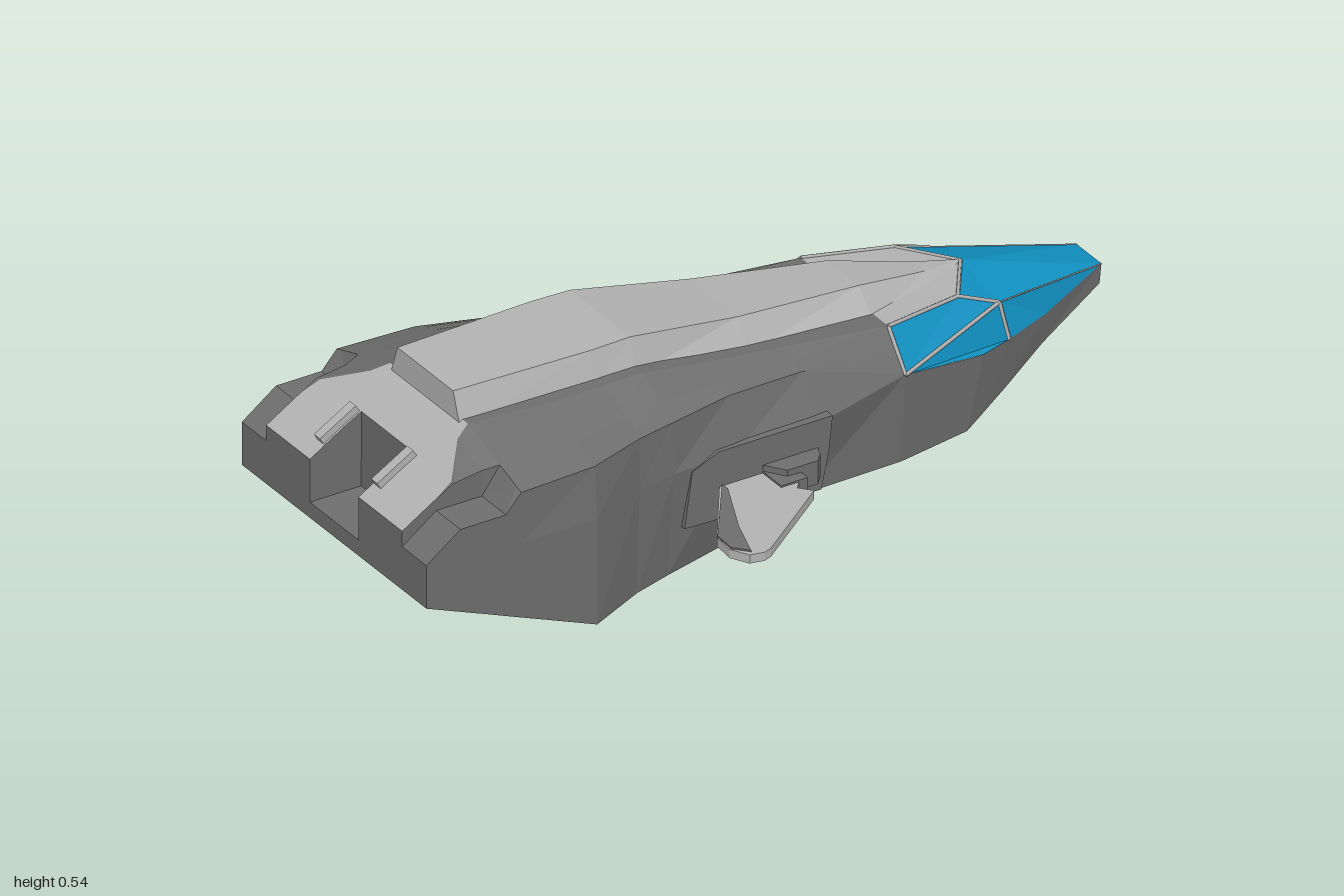
import * as THREE from 'three';

const material = (name, color, side = THREE.FrontSide) => {
  const m = new THREE.MeshStandardMaterial({ color, side });
  m.name = name;
  return m;
};

// Flat-shaded surface from polygons on the +z half, mirrored to -z
function mirroredSurface(polygons) {
  const pos = [];
  for (const p of polygons) {
    for (let i = 1; i < p.length - 1; i++) {
      const [a, b, c] = [p[0], p[i], p[i + 1]];
      pos.push(...a, ...b, ...c);
      for (const [x, y, z] of [a, c, b]) pos.push(x, y, -z);
    }
  }
  const g = new THREE.BufferGeometry();
  g.setAttribute('position', new THREE.Float32BufferAttribute(pos, 3));
  g.computeVertexNormals();
  return g;
}

// Quads between neighbouring half sections; pick(i, j) chooses the list
function loft(rows, pick) {
  for (let i = 0; i < rows.length - 1; i++) {
    const a = rows[i], b = rows[i + 1];
    for (let j = 0; j < Math.min(a.length, b.length) - 1; j++) {
      pick(i, j).push([a[j], b[j], b[j + 1], a[j + 1]]);
    }
  }
}

// End cap made of vertical strips down to the section's bottom line
function cap(row, facesForward) {
  const yb = row[0][1], out = [];
  for (let j = 0; j < row.length - 1; j++) {
    const [x, y0, z0] = row[j], [, y1, z1] = row[j + 1];
    const q = [[x, yb, z0], [x, y0, z0], [x, y1, z1], [x, yb, z1]];
    out.push(facesForward ? q.reverse() : q);
  }
  return out;
}

const outline = (pts) => new THREE.Shape(pts.map(([x, y]) => new THREE.Vector2(x, y)));

export function createModel() {
  const model = new THREE.Group();
  model.name = 'shuttle';
  const dark = material('hull grey', 0x6e6e6e);
  const light = material('light grey', 0xb2b2b2, THREE.DoubleSide);
  const blue = material('window blue', 0x1090c0);
  const add = (name, geometry, mat, parent = model) => {
    const m = new THREE.Mesh(geometry, mat);
    m.name = name;
    parent.add(m);
    return m;
  };

  // Tail sections: x, bottom y, notch floor y, notch top y, ramp edge z, ramp y, recess floor y
  const tail = [
    [-1, 0.18, 0.29, 0.33, 0.28, 0.33, 0.22],
    [-0.91, 0.144, 0.355, 0.385, 0.28, 0.385, 0.22],
    [-0.865, 0.126, 0.355, 0.41, 0.27, 0.41, 0.22],
    [-0.864, 0.126, 0.355, 0.41, 0.27, 0.41, 0.41],
    [-0.79, 0.096, 0.355, 0.42, 0.18, 0.453, 0.453],
  ].map(([x, yb, yn, yt, zr, yr, yf]) => [
    [x, yb, 0], [x, yb, 0.38], [x, 0.27, 0.38], [x, yn, 0.38], [x, yn, 0.28],
    [x, yt, 0.28], [x, yr, zr], [x, yr, 0.1], [x, yf, 0.1], [x, yf, 0],
  ]);

  // Main sections: x, bottom y z, side y z, shoulder y z, roof edge y z
  const body = [
    [-0.75, 0.08, 0.38, 0.27, 0.38, 0.4, 0.38, 0.47, 0.16],
    [-0.55, 0, 0.38, 0.27, 0.38, 0.4, 0.37, 0.47, 0.18],
    [-0.4, 0, 0.31, 0.27, 0.32, 0.4, 0.32, 0.47, 0.18],
    [-0.3, 0, 0.28, 0.27, 0.305, 0.4, 0.3, 0.47, 0.18],
    [-0.13, 0, 0.235, 0.27, 0.295, 0.4, 0.265, 0.443, 0.175],
    [0.08, 0.07, 0.24, 0.27, 0.292, 0.385, 0.24, 0.415, 0.17],
    [0.345, 0.07, 0.235, 0.298, 0.25, 0.302, 0.249, 0.39, 0.18],
  ].map(([x, yb, zb, ym, zm, ys, zs, yu, zu]) => {
    const mix = (t) => [x, ys + (yu - ys) * t, zs + (zu - zs) * t];
    return [
      [x, yb, 0], [x, yb, zb], [x, ym, zm], [x, ys, zs], mix(0.1),
      mix(0.4), mix(1), [x, yu, 0.1], [x, yu, 0.1], [x, yu, 0],
    ];
  });

  // Canopy corner points, shared with the nose sections
  const A = body.at(-1)[2], B = body.at(-1)[6], B0 = body.at(-1)[9];
  const C = [0.56, 0.376, 0.13], D = [0.66, 0.337, 0.145], F = [0.65, 0.377, 0];
  const G = [0.58, 0.256, 0.205], I = [0.67, 0.25, 0.17], H = [0.8, 0.25, 0.118];
  const E = [0.99, 0.287, 0.05], E0 = [0.99, 0.287, 0];
  const nose = [
    body.at(-1).slice(0, 3),
    [[0.54, 0.07, 0], [0.54, 0.07, 0.2], [0.54, 0.262, 0.212]],
    [[0.58, 0.086, 0], [0.58, 0.086, 0.187], G],
    [[0.67, 0.12, 0], [0.67, 0.12, 0.155], I],
    [[0.8, 0.17, 0], [0.8, 0.17, 0.105], H],
    [[0.985, 0.238, 0], [0.985, 0.238, 0.05], E],
  ];

  // Hull with light boarding ramp at the tail
  const hull = [], ramp = [];
  const rows = [...tail, ...body];
  loft(rows, (i, j) => (i < 5 && (j === 6 || (i > 2 && j > 6)) ? ramp : hull));
  loft(nose, () => hull);
  hull.push(...cap(tail[0], false));
  hull.push([[0.985, 0.238, 0], [0.985, 0.238, 0.05], E, E0].reverse());
  add('hull', mirroredSurface(hull), dark);
  add('tailRamp', mirroredSurface(ramp), light);

  // Small fittings beside the tail recess
  for (const s of [-1, 1]) {
    const rail = add('rampRail', new THREE.BoxGeometry(0.11, 0.03, 0.025), light);
    rail.position.set(-0.915, 0.385, s * 0.118);
    rail.rotation.z = 0.53;
  }

  // Canopy glass, roof and window frames
  add('windows', mirroredSurface([
    [A, D, C, B], [A, G, I, D], [D, I, H, E], [F, C, D, E, E0],
  ]), blue);
  add('canopyRoof', mirroredSurface([[B0, B, C, F]]), light);
  const up = new THREE.Vector3(0, 1, 0);
  for (const s of [-1, 1]) {
    for (const [p, q] of [[A, D], [D, C], [D, I], [D, E], [C, F], [B, C], [A, B]]) {
      const a = new THREE.Vector3(p[0], p[1], p[2] * s);
      const d = new THREE.Vector3(q[0], q[1], q[2] * s).sub(a);
      const r = q === E ? 0.002 : 0.005;
      const bar = add('windowFrame', new THREE.CylinderGeometry(r, r, d.length(), 5), light);
      bar.position.copy(a).addScaledVector(d, 0.5);
      bar.quaternion.setFromUnitVectors(up, d.normalize());
    }
  }

  // Raised spine: x, base y z, top y z
  const spine = [
    [-0.76, 0.45, 0.145, 0.535, 0.115],
    [-0.4, 0.45, 0.152, 0.535, 0.128],
    [-0.3, 0.45, 0.152, 0.535, 0.124],
    [0, 0.41, 0.147, 0.482, 0.1],
    [0.34, 0.38, 0.128, 0.44, 0.066],
    [0.54, 0.372, 0.06, 0.395, 0.025],
    [0.65, 0.37, 0.008, 0.379, 0.001],
  ].map(([x, y0, z0, y1, z1]) => [[x, y0, 0], [x, y0, z0], [x, y1, z1], [x, y1, 0]]);
  const spineFaces = cap(spine[0], false);
  loft(spine, () => spineFaces);
  add('spine', mirroredSurface(spineFaces), light);

  // Side pods, hinges and fins
  const podShape = outline([[-0.27, 0.12], [0.09, 0.11], [0.11, 0.2], [0.12, 0.29], [-0.18, 0.29], [-0.25, 0.26]]);
  const hingeShape = outline([[-0.08, 0.28], [0.09, 0.28], [0.07, 0.33], [0.05, 0.352], [-0.03, 0.352]]);
  const finShape = outline([
    [-0.17, 0.29], [0, 0.29], [-0.01, 0.37], [-0.035, 0.4], [-0.01, 0.43],
    [-0.23, 0.595], [-0.25, 0.602], [-0.285, 0.595], [-0.31, 0.55], [-0.305, 0.49],
  ]);
  const finEdge = outline([[-0.17, 0.3], [-0.17, 0.325], [-0.24, 0.48], [-0.275, 0.585], [-0.306, 0.55], [-0.303, 0.49]]);
  const slab = (shape, y, thickness) => new THREE.ExtrudeGeometry(shape, { depth: thickness, bevelEnabled: false })
    .rotateX(Math.PI / 2).translate(0, y + thickness, 0);
  for (const s of [-1, 1]) {
    const side = new THREE.Group();
    side.name = s > 0 ? 'frontFinAssembly' : 'backFinAssembly';
    model.add(side);
    add('pod', new THREE.ExtrudeGeometry(podShape, { depth: 0.1, bevelEnabled: false }).translate(0, 0, 0.203), dark, side);
    add('hinge', slab(hingeShape, 0.16, 0.06), dark, side);
    add('hingeArm', new THREE.BoxGeometry(0.07, 0.035, 0.09).translate(-0.03, 0.187, 0.335), dark, side);
    add('fin', slab(finShape, 0.178, 0.022), light, side);
    add('finEdge', slab(finEdge, 0.2, 0.004), dark, side);
    side.scale.z = s;
  }
  return model;
}
